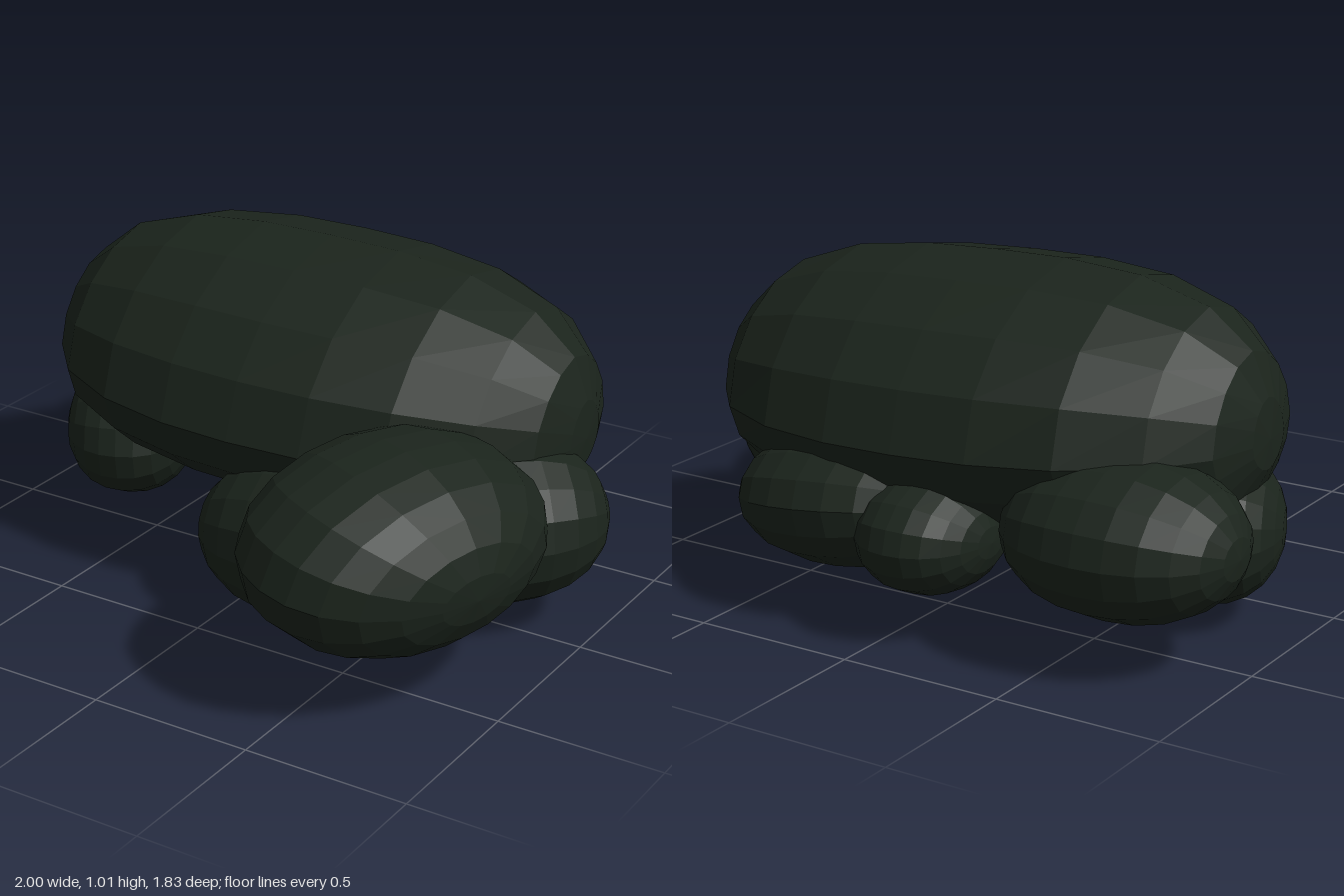
import * as THREE from 'three';

const foliage = new THREE.MeshStandardMaterial({ color: 0x1b241c, flatShading: true });
foliage.name = 'dark foliage green';

// Unit faceted ball with poles on x. Powers above 2 blunt the ends as seen
// from the front (sidePower) and from the top (topPower); a section power
// below 2 makes the ridge sharper, and bottom below 1 flattens the underside.
function bluntBall(sidePower, topPower, section = 2, bottom = 1) {
  const geo = new THREE.SphereGeometry(1, 16, 12).rotateZ(Math.PI / 2);
  const pos = geo.attributes.position;
  const ring = (x, p) => Math.max(0, 1 - x ** p) ** (1 / p);
  for (let i = 0; i < pos.count; i++) {
    const y = pos.getY(i), z = pos.getZ(i), r = Math.hypot(y, z);
    const ax = Math.abs(pos.getX(i));
    const x = Math.min(1, ax * (ax ** sidePower + r ** sidePower) ** (-1 / sidePower));
    const k = (Math.abs(y) ** section + Math.abs(z) ** section + 1e-12) ** (-1 / section);
    pos.setXYZ(i, x * Math.sign(pos.getX(i)),
      y * k * ring(x, sidePower) * (y < 0 ? bottom : 1),
      z * k * ring(x, topPower));
  }
  geo.computeVertexNormals();
  return geo;
}

export function createModel() {
  const group = new THREE.Group();
  group.name = 'bush';

  function addClump(name, geo, position, size, rotation = [0, 0, 0]) {
    const mesh = new THREE.Mesh(geo, foliage);
    mesh.name = name;
    mesh.position.set(...position);
    mesh.scale.set(...size);
    mesh.rotation.set(...rotation);
    group.add(mesh);
  }

  // Large crown, long across x with a flatter underside
  addClump('crown', bluntBall(2.85, 2.25, 1.8, 0.74), [-0.01, 0.55, -0.23],
    [0.873, 0.455, 0.595], [0, 0.04, -0.025]);

  // Smaller clumps around the base
  const ball = bluntBall(2.15, 2.15);
  addClump('frontLeftClump', ball, [0.625, 0.43, 0.44], [0.35, 0.285, 0.48], [0, -0.31, -0.15]);
  addClump('leftClump', ball, [0.705, 0.32, -0.04], [0.32, 0.245, 0.265], [0, 0.785, 0]);
  addClump('frontClump', ball, [0.23, 0.248, 0.23], [0.36, 0.248, 0.265], [0, 0, 0.08]);
  addClump('rightClump', ball, [-0.68, 0.27, -0.145], [0.21, 0.22, 0.295], [0, 0.4, 0]);
  addClump('backRightClump', ball, [-0.645, 0.36, -0.58], [0.355, 0.228, 0.295]);
  addClump('backClump', ball, [-0.075, 0.295, -0.675], [0.2, 0.175, 0.245]);
  addClump('backLeftClump', ball, [0.25, 0.31, -0.57], [0.36, 0.208, 0.335], [0.15, 0, -0.1]);

  return group;
}
